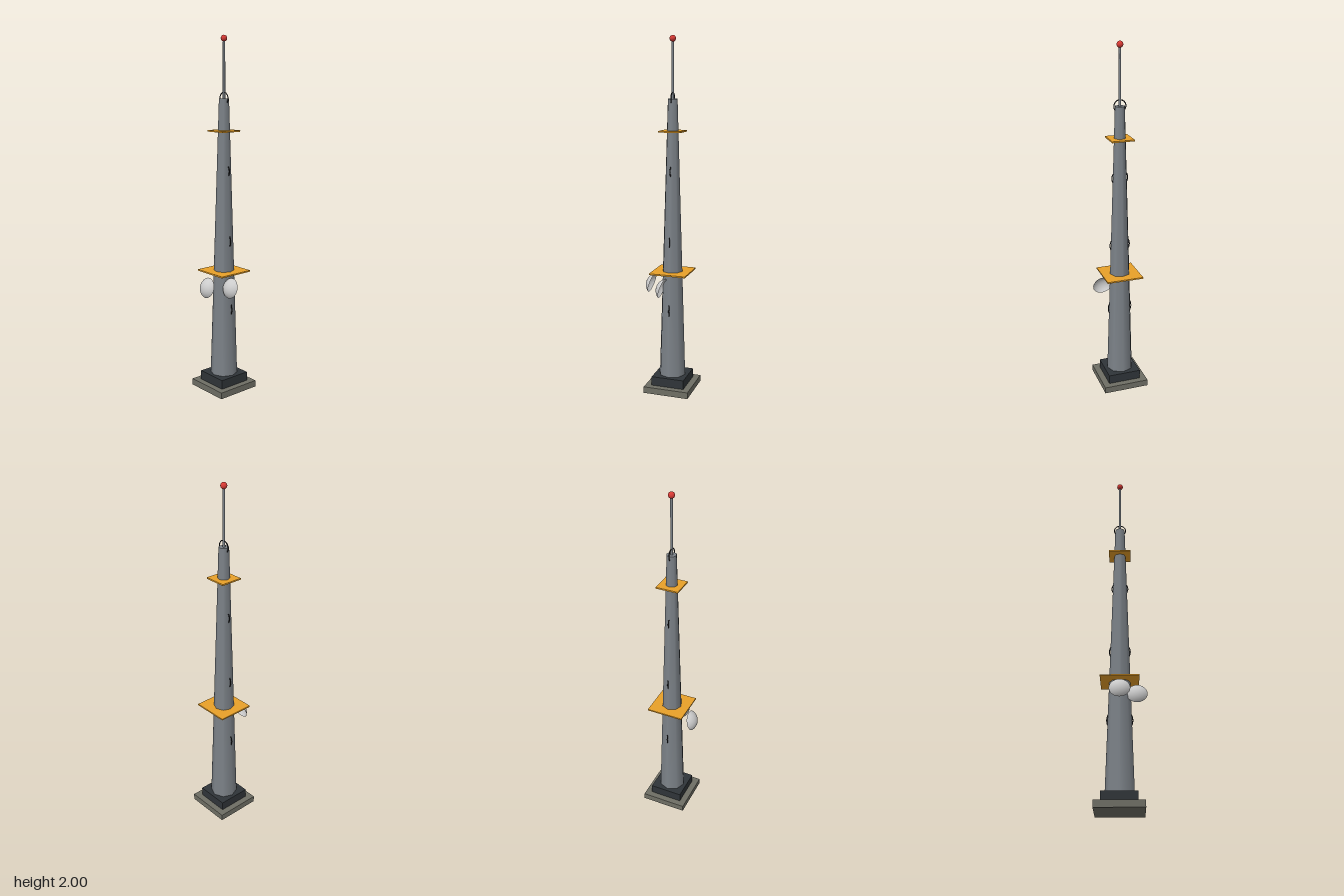
import * as THREE from 'three';

const mat = (color, side = THREE.FrontSide) => new THREE.MeshStandardMaterial({ color, side });

export function createModel() {
  const tower = new THREE.Group();
  tower.name = 'radioTower';
  // the dishes overhang, so the mast axis sits slightly off centre
  tower.position.set(-0.01, 0, -0.014);

  const concrete = mat(0x6e6e64);
  const darkSteel = mat(0x2f3438);
  const steel = mat(0x7c8288);
  const black = mat(0x1e1e20);
  const amber = mat(0xe8a028);
  const white = mat(0xe4e4e4, THREE.DoubleSide);
  const red = mat(0xd63a34);

  const add = (name, geometry, material, x, y, z) => {
    const mesh = new THREE.Mesh(geometry, material);
    mesh.name = name;
    mesh.position.set(x, y, z);
    tower.add(mesh);
    return mesh;
  };

  // stepped footing
  add('foundation', new THREE.BoxGeometry(0.262, 0.037, 0.262), concrete, 0, 0.0185, 0);
  add('plinth', new THREE.BoxGeometry(0.19, 0.053, 0.19), darkSteel, 0, 0.0625, 0);

  // tapered eight-sided mast
  const bottom = 0.088, height = 1.577;
  add('mast', new THREE.CylinderGeometry(0.0275, 0.077, height, 8), steel, 0, bottom + height / 2, 0);

  // upright hoops at each quarter of the mast
  for (let i = 1; i <= 4; i++) {
    const radius = 0.0815 - 0.012 * i;
    add(`hoop${i}`, new THREE.TorusGeometry(radius, 0.003, 6, 24), black, 0, bottom + (height * i) / 4, 0);
  }

  // square service platforms
  add('lowerPlatform', new THREE.BoxGeometry(0.21, 0.008, 0.21), amber, 0, 0.7, 0);
  add('upperPlatform', new THREE.BoxGeometry(0.126, 0.008, 0.126), amber, 0, 1.49, 0);

  // shallow dishes bulging forward and tilted upward
  const dishGeometry = new THREE.SphereGeometry(0.066, 24, 10, 0, Math.PI * 2, 0, Math.PI / 3);
  dishGeometry.rotateX(Math.PI / 2 - 0.3);
  add('frontDish', dishGeometry, white, 0, 0.612, 0.092);
  add('leftDish', dishGeometry, white, 0.092, 0.612, 0);

  // antenna and warning light
  add('antenna', new THREE.CylinderGeometry(0.0065, 0.0075, 0.32, 8), steel, 0, 1.82, 0);
  add('beacon', new THREE.SphereGeometry(0.0175, 16, 12), red, 0, 1.9825, 0);

  const model = new THREE.Group();
  model.name = 'model';
  model.add(tower);
  return model;
}
